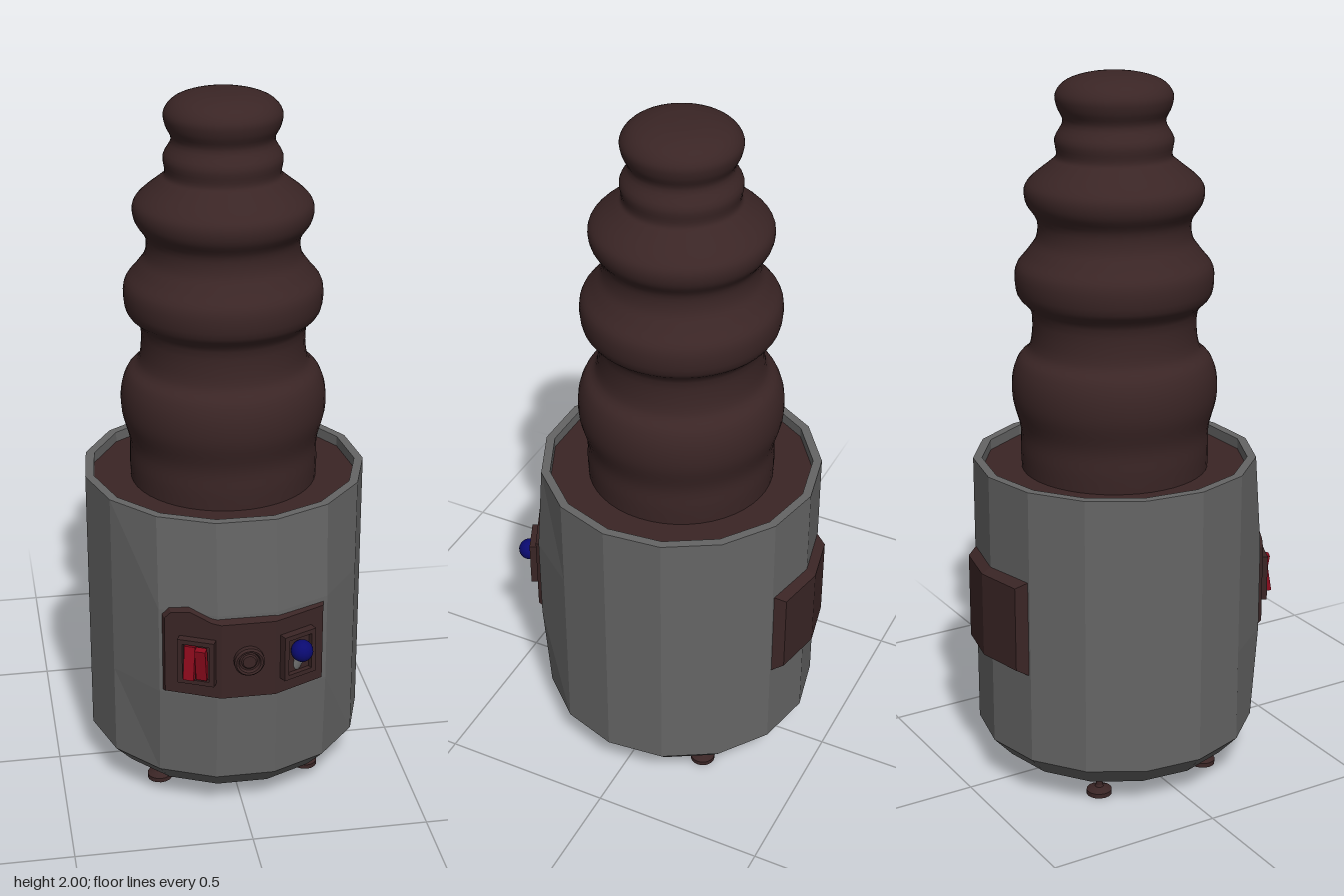
import * as THREE from 'three';

const mat = (name, color) => {
  const m = new THREE.MeshStandardMaterial({ color });
  m.name = name;
  return m;
};

const AXIS_Z = -0.02; // the round body sits slightly behind the centre

function flat(geo) {
  const g = geo.index ? geo.toNonIndexed() : geo;
  g.computeVertexNormals();
  return g;
}

function lathe(points, sides, start = 0) {
  return new THREE.LatheGeometry(points.map(p => new THREE.Vector2(p[0], p[1])), sides, start);
}

// Bevelled plate folded along vertical lines. Column: [baseX, baseZ, outerX, outerZ, extraHeight]
function foldedPlate(columns, y0, y1, bevel) {
  const rows = columns.map(([bx, bz, ox, oz, up = 0]) => [
    [bx, y0, bz], [ox, y0 + bevel, oz], [ox, y1 - bevel + up, oz], [bx, y1 + up, bz],
  ]);
  const pos = [];
  const quad = (a, b, c, d) => pos.push(...a, ...b, ...c, ...a, ...c, ...d);
  for (let i = 0; i < rows.length - 1; i++) {
    for (let k = 0; k < 3; k++) quad(rows[i][k], rows[i + 1][k], rows[i + 1][k + 1], rows[i][k + 1]);
  }
  quad(...rows[0]);
  quad(...[...rows[rows.length - 1]].reverse());
  const g = new THREE.BufferGeometry();
  g.setAttribute('position', new THREE.Float32BufferAttribute(pos, 3));
  g.computeVertexNormals();
  return g;
}

function rect(path, w, h) {
  path.moveTo(-w / 2, -h / 2);
  path.lineTo(w / 2, -h / 2);
  path.lineTo(w / 2, h / 2);
  path.lineTo(-w / 2, h / 2);
  path.closePath();
  return path;
}

export function createModel() {
  const root = new THREE.Group();
  root.name = 'bellowsDevice';
  const brown = mat('darkBrown', 0x3a2525);
  const grey = mat('casingGrey', 0x656565);
  const red = mat('switchRed', 0x8c0a1c);
  const blue = mat('knobBlue', 0x0a0a70);
  const silver = mat('leverSilver', 0x8c8c8c);

  const add = (name, geo, material, x = 0, y = 0, z = 0, parent = root) => {
    const m = new THREE.Mesh(geo, material);
    m.name = name;
    m.position.set(x, y, z);
    parent.add(m);
    return m;
  };

  // Fifteen-sided casing with chamfered foot, open rim and a slight bulge behind the controls
  const shell = lathe([[0, 0.07], [0.345, 0.07], [0.4, 0.13], [0.4, 0.4], [0.4, 0.66],
    [0.4, 0.93], [0.375, 0.93], [0.375, 0.89]], 15, Math.PI);
  const p = shell.attributes.position;
  for (let i = 0; i < p.count; i++) {
    if (p.getY(i) > 0.3 && p.getY(i) < 0.7 && p.getZ(i) > 0.25) p.setZ(i, p.getZ(i) + 0.022);
  }
  add('casing', flat(shell), grey, 0, 0, AXIS_Z);
  add('casingLid', flat(lathe([[0.376, 0.9], [0, 0.9]], 15, Math.PI)), brown, 0, 0, AXIS_Z);

  // Bellows column with a rounded cap
  const profile = new THREE.SplineCurve([
    [0.262, 0.88], [0.265, 0.95], [0.265, 1.02], [0.285, 1.1], [0.285, 1.165], [0.268, 1.215],
    [0.234, 1.255], [0.23, 1.35], [0.268, 1.4], [0.272, 1.47], [0.24, 1.515], [0.214, 1.555],
    [0.212, 1.605], [0.24, 1.65], [0.245, 1.69], [0.225, 1.72], [0.175, 1.76], [0.157, 1.78],
    [0.161, 1.825], [0.139, 1.87], [0.155, 1.91], [0.158, 1.945], [0.13, 1.977], [0.07, 1.996],
    [0, 2],
  ].map(([x, y]) => new THREE.Vector2(x, y)));
  const samples = profile.getPoints(96).map(v => [Math.max(v.x, 0), Math.min(v.y, 2)]);
  add('bellows', lathe(samples, 48), brown, 0, 0, AXIS_Z);

  // Four levelling feet
  const footGeo = lathe([[0, 0], [0.036, 0.002], [0.036, 0.015], [0.012, 0.024],
    [0.009, 0.03], [0.009, 0.08]], 16);
  for (const x of [-0.217, 0.217]) {
    for (const z of [-0.2, 0.15]) add('foot', flat(footGeo), brown, x, 0, z);
  }

  // Control panel and rear cover, both following the casing's sides
  add('controlPanel', foldedPlate([
    [-0.237, 0.29, -0.222, 0.345, 0], [-0.215, 0.305, -0.205, 0.353, 0.02],
    [-0.16, 0.335, -0.155, 0.376, 0.028], [-0.1, 0.36, -0.1, 0.402, 0.003],
    [-0.075, 0.37, -0.075, 0.413, 0], [0.075, 0.37, 0.075, 0.413, 0],
    [0.232, 0.29, 0.22, 0.345, 0],
  ], 0.395, 0.66, 0.018), brown);
  const cover = foldedPlate([
    [-0.165, 0.37, -0.14, 0.418], [0, 0.4, 0, 0.447], [0.165, 0.37, 0.14, 0.418],
  ], 0.38, 0.675, 0.025);
  add('rearCover', cover.rotateY(Math.PI), brown);

  // Round centre button with a raised ring
  const button = lathe([[0.042, 0], [0.042, 0.016], [0.037, 0.022], [0.031, 0.02],
    [0.027, 0.012], [0.022, 0.012], [0.018, 0.016], [0, 0.016]], 24).rotateX(Math.PI / 2);
  add('centreButton', flat(button), brown, 0, 0.53, 0.412);

  // Switch housings on the two angled panel faces
  const frame = rect(new THREE.Shape(), 0.104, 0.135);
  frame.holes.push(rect(new THREE.Path(), 0.076, 0.108));
  const frameGeo = new THREE.ExtrudeGeometry(frame, { depth: 0.038, bevelEnabled: false });
  const housings = [-1, 1].map(side => {
    const g = new THREE.Group();
    g.name = side < 0 ? 'rockerSwitch' : 'leverSwitch';
    g.position.set(side * 0.133, 0.527, 0.378);
    g.rotation.y = side * 0.43;
    add('switchFrame', frameGeo, brown, 0, 0, -0.008, g);
    add('switchBacking', new THREE.BoxGeometry(0.08, 0.11, 0.02), brown, 0, 0, 0.006, g);
    root.add(g);
    return g;
  });

  // Pair of red rockers tilted opposite ways
  for (const s of [-1, 1]) {
    const rocker = add('redRocker', new THREE.BoxGeometry(0.03, 0.098, 0.02), red, s * 0.0165, 0, 0.029, housings[0]);
    rocker.rotation.x = s * 0.16;
  }

  // Lever with a blue ball
  const lever = add('lever', new THREE.CylinderGeometry(0.011, 0.014, 0.06, 12), silver, 0, -0.018, 0.024, housings[1]);
  lever.rotation.x = 0.6;
  add('leverBall', new THREE.SphereGeometry(0.031, 16, 12), blue, 0, 0.016, 0.037, housings[1]);

  return root;
}
